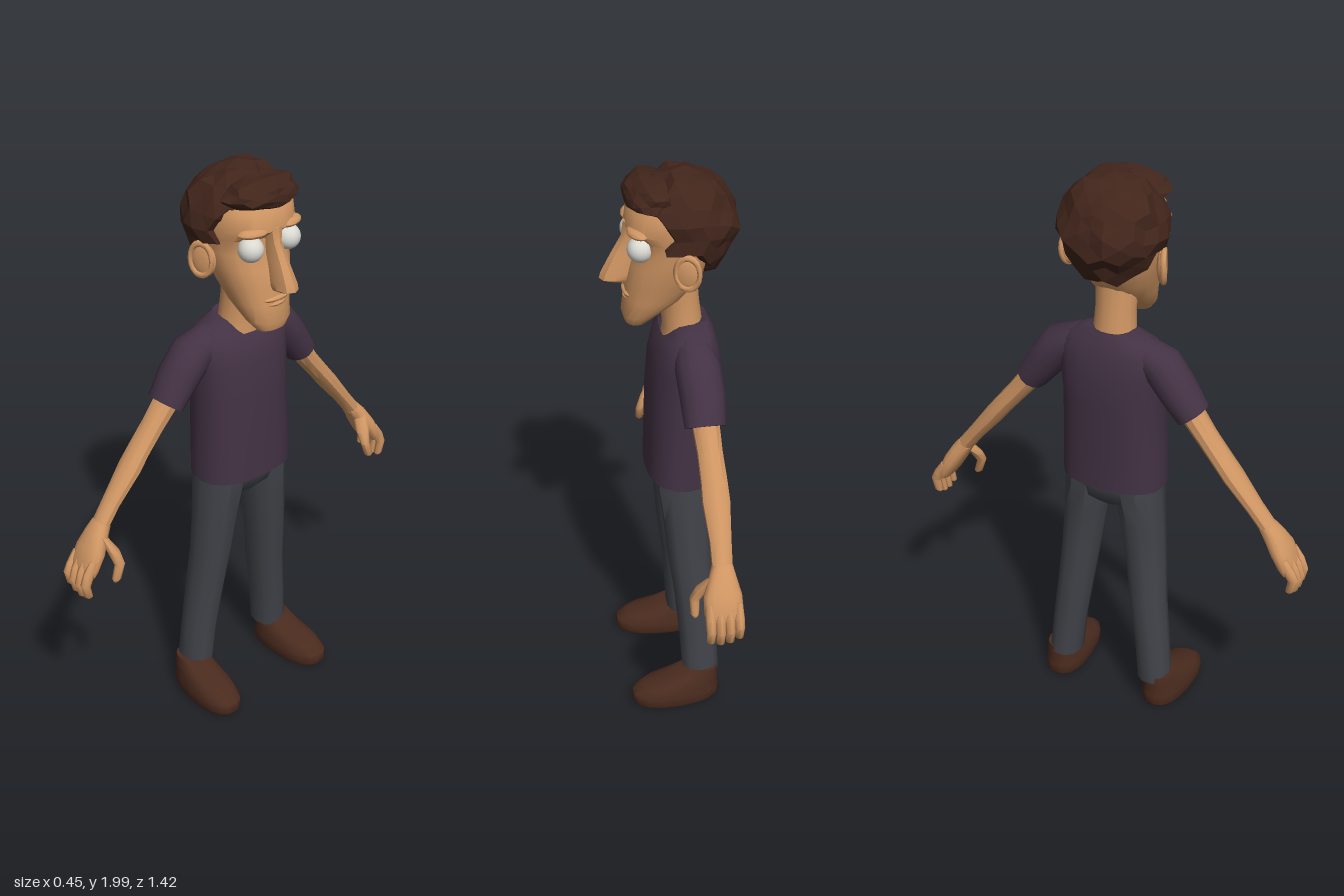
import * as THREE from 'three';
import { toCreasedNormals } from 'three/addons/utils/BufferGeometryUtils.js';

const mat = (name, color) => {
  const m = new THREE.MeshStandardMaterial({ color });
  m.name = name;
  return m;
};

// Closed skin over rings listed bottom to top: [x, y, z, halfWidth, halfDepth, tilt, frontDip].
// power 2 gives ellipses, larger values give boxier rings.
function loft(rings, sides = 14, power = 2) {
  const pos = [], index = [];
  const bend = v => Math.sign(v) * Math.pow(Math.abs(v), 2 / power);
  for (const [x, y, z, w, d, tilt = 0, dip = 0] of rings) {
    for (let j = 0; j < sides; j++) {
      const a = (j / sides) * Math.PI * 2;
      const u = w * bend(Math.cos(a)), s = Math.sin(a);
      pos.push(x + u * Math.cos(tilt), y + u * Math.sin(tilt) - dip * Math.max(0, s) ** 2, z + d * bend(s));
    }
  }
  const last = rings.length - 1, base = rings.length * sides;
  pos.push(...rings[0].slice(0, 3));
  pos.push(rings[last][0], rings[last][1] - (rings[last][6] || 0) * 0.5, rings[last][2]);
  for (let j = 0; j < sides; j++) {
    const k = (j + 1) % sides;
    for (let i = 0; i < last; i++) {
      const a = i * sides + j, b = i * sides + k;
      index.push(a, a + sides, b, b, a + sides, b + sides);
    }
    index.push(base, j, k, base + 1, last * sides + k, last * sides + j);
  }
  const g = new THREE.BufferGeometry();
  g.setAttribute('position', new THREE.Float32BufferAttribute(pos, 3));
  g.setIndex(index);
  return g;
}

const ball = (x, y, z, rx, ry, rz, turn = 0) =>
  new THREE.SphereGeometry(1, 20, 14).scale(rx, ry, rz).rotateY(turn).translate(x, y, z);

function mirrored(geometry) {
  const g = geometry.clone().scale(-1, 1, 1), ix = g.index.array;
  for (let i = 0; i < ix.length; i += 3) [ix[i], ix[i + 1]] = [ix[i + 1], ix[i]];
  return g;
}

// Faceted tuft of curls; "shape" may pull each vertex inward
function curls(x, y, z, rx, ry, rz, detail, rough, shape = () => 1) {
  const g = new THREE.IcosahedronGeometry(1, detail), p = g.attributes.position;
  const v = new THREE.Vector3();
  for (let i = 0; i < p.count; i++) {
    v.fromBufferAttribute(p, i);
    const key = Math.round(v.x * 50) * 12.99 + Math.round(v.y * 50) * 78.23 + Math.round(v.z * 50) * 37.72;
    const h = Math.sin(key) * 43758.5453;
    const s = 1 + rough * (h - Math.floor(h) - 0.5);
    const k = shape(y + v.y * ry, z + v.z * rz);
    p.setXYZ(i, x + v.x * rx * s * k, y + v.y * ry * s * k, z + v.z * rz * s * k);
  }
  g.computeVertexNormals();
  return g;
}

export function createModel() {
  const skin = mat('skin', 0xd09663), shirt = mat('shirt', 0x433244), denim = mat('trousers', 0x414349);
  const leather = mat('shoe leather', 0x4a2b1e), hair = mat('hair', 0x41251b), white = mat('eye white', 0xdad9d2);

  const root = new THREE.Group();
  const figure = new THREE.Group();
  figure.name = 'figure';
  figure.rotation.y = Math.PI / 2; // built facing +z, stands facing +x
  root.add(figure);

  const add = (name, geometry, material, crease = 0.9) => {
    const m = new THREE.Mesh(crease ? toCreasedNormals(geometry, crease) : geometry, material);
    m.name = name;
    figure.add(m);
  };
  const pair = (name, geometry, material, crease) => {
    add(name + 'Left', geometry, material, crease);
    add(name + 'Right', mirrored(geometry), material, crease);
  };

  // Head and neck
  add('head', loft([
    [0, 1.47, 0.11, 0.055, 0.036],
    [0, 1.5, 0.097, 0.078, 0.058],
    [0, 1.56, 0.05, 0.097, 0.098],
    [0, 1.62, 0.022, 0.116, 0.12],
    [0, 1.68, 0, 0.133, 0.128],
    [0, 1.73, -0.018, 0.142, 0.128],
    [0, 1.78, -0.02, 0.147, 0.128],
    [0, 1.81, -0.008, 0.15, 0.15],
    [0, 1.87, -0.015, 0.145, 0.15],
    [0, 1.92, -0.03, 0.12, 0.12],
    [0, 1.95, -0.04, 0.07, 0.07],
  ], 18, 2.3), skin, 0.7);
  add('neck', loft([
    [0, 1.37, -0.045, 0.085, 0.075],
    [0, 1.44, -0.045, 0.073, 0.066],
    [0, 1.53, -0.035, 0.068, 0.064],
    [0, 1.64, -0.02, 0.075, 0.07],
  ], 14), skin);
  add('nose', loft([
    [0, 1.612, 0.15, 0.022, 0.035],
    [0, 1.625, 0.175, 0.034, 0.05],
    [0, 1.645, 0.17, 0.033, 0.05],
    [0, 1.71, 0.14, 0.025, 0.046],
    [0, 1.77, 0.112, 0.021, 0.04],
    [0, 1.82, 0.115, 0.03, 0.03],
  ], 8, 2.4), skin, 0.6);
  add('upperLip', ball(0, 1.578, 0.135, 0.05, 0.011, 0.018), skin);
  add('lowerLip', ball(0, 1.56, 0.133, 0.042, 0.011, 0.018), skin);
  pair('browRidge', ball(0.078, 1.812, 0.11, 0.052, 0.016, 0.032, 0.3), skin);
  pair('eye', ball(0.079, 1.755, 0.103, 0.042, 0.042, 0.042), white);
  pair('ear', ball(0.158, 1.7, -0.03, 0.016, 0.058, 0.043, -0.4), skin);
  pair('earRim', new THREE.TorusGeometry(1, 0.22, 8, 18).scale(0.038, 0.054, 0.045)
    .rotateY(Math.PI / 2 - 0.4).translate(0.167, 1.703, -0.033), skin);

  // Hair, tucked in around the face and ears
  add('hair', curls(0, 1.81, -0.05, 0.178, 0.182, 0.175, 3, 0.15, (y, z) => {
    if (z > 0.04 && y < 1.86) return 0.75;
    if (z > -0.08 && y < 1.75) return 0.72;
    return 1;
  }), hair, 0);
  add('fringe', curls(0, 1.915, 0.06, 0.138, 0.056, 0.088, 2, 0.2), hair, 0);

  // Shirt
  add('shirtBody', loft([
    [0, 0.89, -0.037, 0.185, 0.122],
    [0, 1.02, -0.04, 0.182, 0.121],
    [0, 1.2, -0.046, 0.175, 0.122],
    [0, 1.32, -0.052, 0.182, 0.118],
    [0, 1.395, -0.055, 0.186, 0.1],
    [0, 1.437, -0.056, 0.15, 0.085, 0, 0.02],
    [0, 1.468, -0.05, 0.08, 0.075, 0, 0.065],
  ], 20, 2.5), shirt);
  pair('sleeve', loft([
    [0.298, 1.217, -0.07, 0.055, 0.068, 0.62],
    [0.24, 1.297, -0.07, 0.066, 0.074, 0.65],
    [0.18, 1.37, -0.065, 0.068, 0.075, 0.8],
    [0.11, 1.405, -0.06, 0.05, 0.06, 1.15],
  ], 14), shirt);

  // Arms and hands
  pair('arm', loft([
    [0.582, 0.865, -0.075, 0.028, 0.034, 0.6],
    [0.53, 0.932, -0.078, 0.028, 0.036, 0.68],
    [0.45, 1.03, -0.078, 0.034, 0.046, 0.68],
    [0.41, 1.08, -0.078, 0.034, 0.044, 0.68],
    [0.35, 1.152, -0.075, 0.036, 0.042, 0.68],
    [0.28, 1.24, -0.07, 0.042, 0.046, 0.65],
  ], 10), skin, 0.6);
  pair('palm', loft([
    [0.668, 0.722, -0.068, 0.02, 0.058, 0.45],
    [0.658, 0.745, -0.068, 0.028, 0.064, 0.45],
    [0.63, 0.795, -0.068, 0.032, 0.062, 0.5],
    [0.6, 0.842, -0.072, 0.031, 0.045, 0.55],
    [0.576, 0.873, -0.075, 0.027, 0.034, 0.6],
  ], 14, 2.4), skin);
  [-0.114, -0.084, -0.053, -0.022].forEach((z, i) => {
    const lift = [0.018, 0.004, 0, 0.008][i];
    pair('finger' + (i + 1), loft([
      [0.681, 0.638 + lift, z, 0.008, 0.007],
      [0.684, 0.646 + lift, z, 0.016, 0.014, 0.1],
      [0.693, 0.69 + lift, z, 0.018, 0.016, 0.2],
      [0.677, 0.735, z, 0.02, 0.017, 0.4],
      [0.65, 0.775, z, 0.018, 0.015, 0.5],
    ], 8), skin);
  });
  pair('thumb', loft([
    [0.596, 0.69, 0.014, 0.008, 0.007],
    [0.592, 0.7, 0.014, 0.016, 0.014],
    [0.575, 0.75, 0.012, 0.018, 0.017, -0.1],
    [0.582, 0.795, -0.012, 0.024, 0.024, 0.2],
    [0.597, 0.84, -0.045, 0.022, 0.024, 0.5],
  ], 8), skin);

  // Trousers
  add('trouserSeat', loft([
    [0, 0.8, -0.045, 0.06, 0.06],
    [0, 0.83, -0.045, 0.135, 0.088],
    [0, 0.88, -0.042, 0.175, 0.105],
    [0, 0.95, -0.042, 0.172, 0.11],
  ], 16, 2.4), denim);
  pair('trouserLeg', loft([
    [0.179, 0.105, -0.085, 0.058, 0.066],
    [0.166, 0.25, -0.078, 0.059, 0.067],
    [0.144, 0.42, -0.068, 0.063, 0.072],
    [0.127, 0.58, -0.052, 0.068, 0.077],
    [0.109, 0.74, -0.045, 0.075, 0.085],
    [0.095, 0.86, -0.044, 0.08, 0.1],
    [0.09, 0.92, -0.044, 0.078, 0.1],
  ], 10, 2.2), denim, 0.7);

  // Shoes, toes turned slightly out
  pair('shoe', loft([
    [0, 0, 0.01, 0.07, 0.15],
    [0, 0.014, 0.01, 0.076, 0.16],
    [0, 0.045, 0.01, 0.076, 0.157],
    [0, 0.072, -0.008, 0.07, 0.135],
    [0, 0.095, -0.05, 0.062, 0.095],
    [0, 0.125, -0.08, 0.052, 0.06],
  ], 18, 2.4).rotateY(0.07).translate(0.204, 0, 0), leather);

  return root;
}
